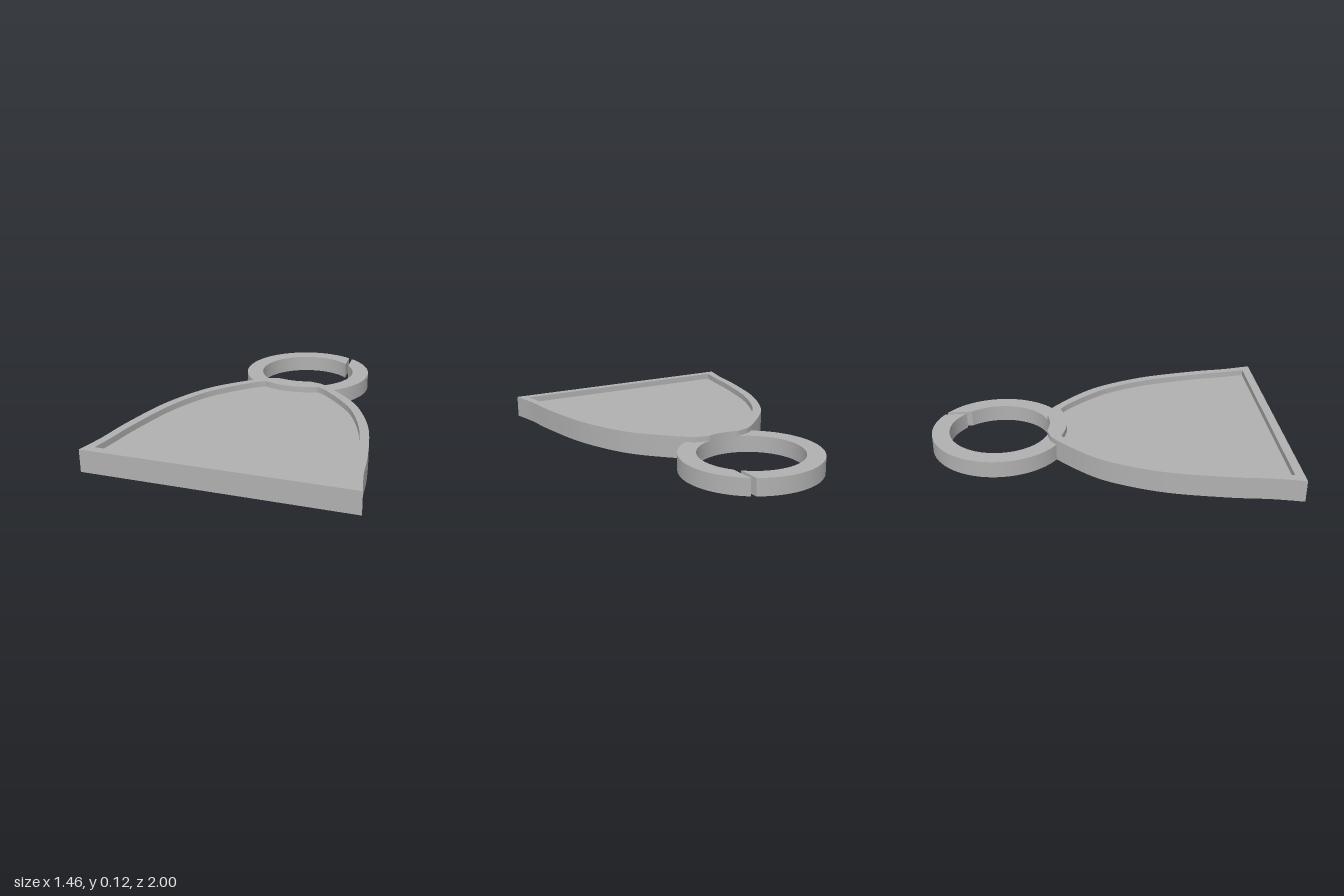
import * as THREE from 'three';
import { toCreasedNormals } from 'three/addons/utils/BufferGeometryUtils.js';

const RING_Z = -0.61, RING_OUTER = 0.39, RING_INNER = 0.29;
const HEIGHT = 0.125, FLOOR = 0.09, RING_HEIGHT = 0.095;

// Right-hand flank of each outline as [x, z], from the wide front to the neck
const OUTER = [[0.73, 1], [0.695, 0.83], [0.667, 0.61], [0.6, 0.29], [0.497, 0.04],
  [0.39, -0.117], [0.206, -0.292], [0.127, -0.328], [0.09, -0.334]];
const INNER = [[0.668, 0.95], [0.645, 0.81], [0.617, 0.61], [0.552, 0.307], [0.455, 0.066],
  [0.353, -0.08], [0.23, -0.21], [0.165, -0.257]];

// Mirrored flanks, closed at the neck by an arc around the ring centre
function tagOutline(flank, radius) {
  const curve = new THREE.SplineCurve(flank.map(([x, z]) => new THREE.Vector2(x, -z)));
  const side = curve.getPoints(48);
  const end = side[side.length - 1];
  const a = Math.atan2(end.y + RING_Z, end.x);
  const arc = [];
  for (let i = 1; i < 16; i++) {
    const t = a + (-Math.PI - 2 * a) * (i / 16);
    arc.push(new THREE.Vector2(radius * Math.cos(t), -RING_Z + radius * Math.sin(t)));
  }
  const mirrored = side.map(p => new THREE.Vector2(-p.x, p.y)).reverse();
  return [...side, ...arc, ...mirrored];
}

// Split ring with a narrow slanted slit
function ringShape() {
  const rad = THREE.MathUtils.degToRad;
  const shape = new THREE.Shape();
  shape.absarc(0, -RING_Z, RING_OUTER, rad(60), rad(416.2), false);
  shape.absarc(0, -RING_Z, RING_INNER, rad(398.5), rad(46.1), true);
  return shape;
}

export function createModel() {
  const group = new THREE.Group();
  group.name = 'keyringTag';
  const grey = new THREE.MeshStandardMaterial({ color: 0xb0b0b0 });
  grey.name = 'grey';

  // Extrude a plan shape upwards from the ground
  const add = (name, shape, depth) => {
    let geometry = new THREE.ExtrudeGeometry(shape, { depth, bevelEnabled: false, curveSegments: 96 });
    geometry.rotateX(-Math.PI / 2);
    geometry = toCreasedNormals(geometry, Math.PI / 7);
    const mesh = new THREE.Mesh(geometry, grey);
    mesh.name = name;
    group.add(mesh);
  };

  const recess = tagOutline(INNER, RING_OUTER);
  const rim = new THREE.Shape(tagOutline(OUTER, RING_INNER));
  rim.holes.push(new THREE.Path(recess));

  add('raisedRim', rim, HEIGHT);
  add('recessedFloor', new THREE.Shape(recess), FLOOR);
  add('splitRing', ringShape(), RING_HEIGHT);
  return group;
}
